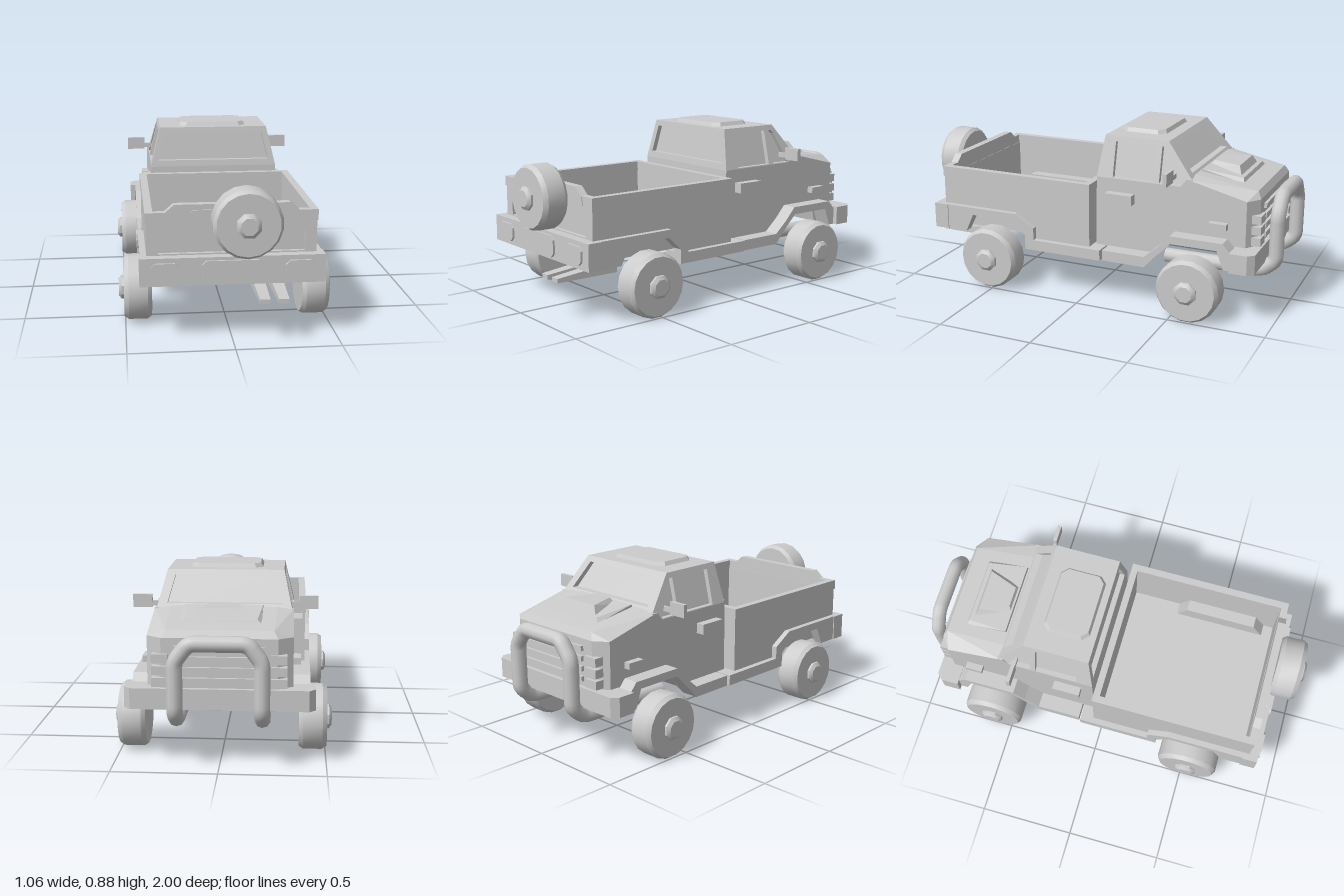
import * as THREE from 'three';
import { ConvexGeometry } from 'three/addons/geometries/ConvexGeometry.js';
import { toCreasedNormals } from 'three/addons/utils/BufferGeometryUtils.js';

const flat = new THREE.MeshStandardMaterial({ color: 0xcccccc, flatShading: true });
const smooth = new THREE.MeshStandardMaterial({ color: 0xcccccc });

export function createModel() {
  const model = new THREE.Group();
  const add = (name, geo, mat = flat, parent = model) => {
    const m = new THREE.Mesh(geo, mat);
    m.name = name;
    parent.add(m);
    return m;
  };
  const box = (name, x0, x1, y0, y1, z0, z1) =>
    add(name, new THREE.BoxGeometry(x1 - x0, y1 - y0, z1 - z0)
      .translate((x0 + x1) / 2, (y0 + y1) / 2, (z0 + z1) / 2));
  const toShape = (pts, holes = []) => {
    const s = new THREE.Shape(pts.map(p => new THREE.Vector2(...p)));
    for (const h of holes) s.holes.push(new THREE.Path(h.map(p => new THREE.Vector2(...p))));
    return s;
  };
  const slab = (pts, depth, holes) =>
    new THREE.ExtrudeGeometry(toShape(pts, holes), { depth, bevelEnabled: false });
  // moves every vertex by a rule
  const warp = (geo, rule) => {
    const p = geo.attributes.position;
    for (let i = 0; i < p.count; i++) p.setXYZ(i, ...rule(p.getX(i), p.getY(i), p.getZ(i)));
    return geo;
  };
  // side profile drawn as (forward, up), spanning x0..x1
  const profile = (pts, x0, x1, holes) =>
    slab(pts, x1 - x0, holes).rotateY(Math.PI / 2).translate(x0, 0, 0);
  // plan drawn as (x, -z), spanning y0..y1
  const plan = (pts, y0, y1, holes) =>
    slab(pts, y1 - y0, holes).rotateX(-Math.PI / 2).translate(0, y0, 0);
  const pair = (name, geo, mat) => {
    add(name + 'Left', geo, mat);
    add(name + 'Right', geo, mat).scale.x = -1;
  };
  const rect = (x0, x1, y0, y1) => [[x0, y0], [x1, y0], [x1, y1], [x0, y1]];
  // hull of points mirrored in x
  const hull = pts => new ConvexGeometry(pts.flatMap(([x, y, z]) =>
    [new THREE.Vector3(x, y, z), new THREE.Vector3(-x, y, z)]));
  const chamfered = (x0, x1, y0, y1, c) => [[x0 + c, y0], [x1 - c, y0], [x1, y0 + c],
    [x1, y1 - c], [x1 - c, y1], [x0 + c, y1], [x0, y1 - c], [x0, y0 + c]];

  // Lower cab and nose
  add('cabBody', profile([[.043, .28], [.39, .28], [.48, .375], [.56, .375], [.56, .69],
    [.53, .69], [.5, .65], [.047, .65]], -.34, .34));
  add('hood', hull([[.34, .375, -.5], [.34, .69, -.54], [.26, .7, -.54], [.34, .375, -.84],
    [.34, .615, -.84], [.27, .375, -.89], [.27, .615, -.89], [.25, .65, -.87]]));
  add('hoodPanel', hull([[.19, .68, -.55], [.19, .66, -.78], [.19, .71, -.56],
    [.17, .682, -.77]]));
  add('hoodScoop', hull([[.08, .69, -.56], [.15, .67, -.755], [.055, .725, -.58],
    [.11, .725, -.73]]));
  add('noseUnderside', hull([[.3, .28, -.76], [.3, .28, -.88], [.3, .4, -.73], [.3, .4, -.88]]));

  // Cab upper: a solid glass core inside pierced frame panels
  add('cabGlass', hull([[.315, .65, -.075], [.315, .65, -.55], [.3, .7, -.51],
    [.265, .86, -.1], [.265, .86, -.387]]));
  const side = slab([[.047, .65], [.075, .86], [.417, .86], [.555, .69], [.555, .65]].reverse(), .03, [
    rect(.135, .355, .655, .833), [[.385, .655], [.5, .655], [.41, .833], [.385, .833]]]);
  pair('cabSideFrame', warp(side, (u, v, w) => [.31 + w - (v - .65) * .24, v, -u]));
  add('rearWindowFrame', warp(
    slab([[-.34, .65], [.34, .65], [.29, .86], [-.29, .86]], .03,
      [[[-.3, .683], [.3, .683], [.265, .83], [-.265, .83]]]),
    (u, v, w) => [u, v, -.077 + w - (v - .65) * .133]));
  add('windshieldFrame', warp(
    slab([[-.33, .69], [.33, .69], [.29, .86], [-.29, .86]], .035,
      [[[-.28, .71], [.28, .71], [.25, .835], [-.25, .835]]]),
    (u, v, w) => [-u, v, -.52 - w + (v - .69) * .81]));
  add('roofHatch', warp(plan(chamfered(-.185, .185, .107, .355, .035), .855, .88),
    (x, y, z) => y > .87 ? [x * .92, y, -.231 + (z + .231) * .9] : [x, y, z]));

  // Cab fittings
  pair('mirror', new THREE.BoxGeometry(.095, .065, .02).translate(.412, .707, -.46));
  pair('mirrorArm', new THREE.BoxGeometry(.07, .025, .012).translate(.345, .695, -.46));
  pair('doorHandle', new THREE.BoxGeometry(.05, .052, .145).translate(.36, .555, -.182));
  pair('sideMarker', new THREE.BoxGeometry(.04, .032, .09).translate(.355, .48, -.705));
  for (let i = 0; i < 4; i++)
    box('grilleSlat', -.21, .21, .405 + i * .05, .43 + i * .05, -.905, -.88);
  for (let i = 0; i < 3; i++)
    pair('headlight', new THREE.BoxGeometry(.075, .042, .05)
      .translate(.275, .408 + i * .056, -.882));

  // Flares, sills and bumpers
  pair('frontFlare', profile([[.11, .23], [.34, .23], [.41, .305], [.48, .375], [.72, .375],
    [.755, .28], [.81, .28], [.81, .375], [.785, .375], [.75, .415], [.475, .415],
    [.415, .35], [.34, .285], [.11, .285]], .325, .42));
  pair('rearFlare', profile([[-.87, .28], [-.69, .28], [-.645, .375], [-.405, .375],
    [-.33, .305], [-.33, .23], [.1, .23], [.1, .285], [-.28, .285], [-.28, .35],
    [-.39, .415], [-.87, .415]], .385, .43));
  pair('sill', new THREE.BoxGeometry(.08, .055, .43).translate(.35, .2575, .115));
  add('frontBumper', plan([[-.445, .79], [.445, .79], [.445, .88], [.415, .912],
    [-.415, .912], [-.445, .88]], .28, .38));
  box('rearBumper', -.435, .435, .28, .415, .8, .88);
  for (const [x0, x1, y0, y1] of [[-.385, -.25, .302, .392], [-.145, .142, .293, .4],
    [.247, .385, .302, .392]])
    add('bumperPlate', slab(chamfered(x0, x1, y0, y1, .02), .015).translate(0, 0, .876));

  // Cargo bed
  pair('bedSide', profile([[-.83, .29], [-.69, .29], [-.645, .375], [-.405, .375], [-.33, .305],
    [-.33, .25], [.03, .25], [.03, .575], [-.83, .575]], .372, .4));
  box('bedFront', -.4, .4, .25, .575, -.03, 0);
  box('bedFloor', -.375, .375, .3, .315, -.02, .82);
  pair('wheelWell', profile([[-.75, .305], [-.25, .305], [-.31, .4], [-.69, .4]], .31, .375));
  add('bedRail', plan(rect(-.405, .405, -.835, .033), .568, .62,
    [rect(-.368, .368, -.8, -.002)]));
  box('tailgateInner', -.4, .4, .3, .575, .798, .812);
  add('tailgateFrame', slab(rect(-.4, .4, .4, .57), .02, [rect(-.345, .345, .422, .52)])
    .translate(0, 0, .812));
  add('tailgateCrest', slab([[-.33, .57], [.33, .57], [.32, .615], [.27, .658], [-.27, .658],
    [-.32, .615]], .04).translate(0, 0, .8));
  add('tailgateLatch', slab(chamfered(-.195, -.06, .585, .632, .012), .012).translate(0, 0, .835));

  // Wheels, turned about y then laid on their side
  const lathe = (pts, n) => toCreasedNormals(
    new THREE.LatheGeometry(pts.map(p => new THREE.Vector2(...p)), n), .5);
  const tyre = lathe([[0, 0], [.148, 0], [.163, .02], [.163, .113], [.148, .135], [0, .135]], 18);
  const hub = lathe([[.06, .13], [.06, .147], [.042, .16], [0, .16]], 8);
  const wheel = (name, x, y, z) => {
    const g = new THREE.Group();
    g.name = name;
    add('tyre', tyre, smooth, g);
    add('hub', hub, smooth, g).rotation.y = Math.PI / 8;
    g.position.set(x, y, z);
    model.add(g);
    return g;
  };
  for (const z of [.524, -.594])
    for (const s of [1, -1])
      wheel('wheel', s * .37, .165, z).rotation.z = -s * Math.PI / 2;
  wheel('spareWheel', .06, .587, .842).rotation.x = Math.PI / 2;
  box('spareMount', .0, .12, .54, .63, .82, .85);

  // Bull bar: bent tube with legs running back under the nose
  const half = [[.2, .228, -.38], [.2, .228, -.89], [.2, .285, -.96], [.2, .52, -.96],
    [.135, .605, -.96]];
  const path = new THREE.CurvePath();
  const pts = [...half, ...half.map(([x, y, z]) => [-x, y, z]).reverse()]
    .map(p => new THREE.Vector3(...p));
  const corner = (i, j) => pts[i].clone().lerp(pts[j],
    Math.min(.3, .03 / pts[i].distanceTo(pts[j])));
  let last = pts[0];
  for (let i = 1; i < pts.length - 1; i++) {
    const a = corner(i, i - 1), b = corner(i, i + 1);
    path.add(new THREE.LineCurve3(last, a));
    path.add(new THREE.QuadraticBezierCurve3(a, pts[i], b));
    last = b;
  }
  path.add(new THREE.LineCurve3(last, pts[pts.length - 1]));
  add('bullBar', new THREE.TubeGeometry(path, 120, .038, 10), smooth);
  for (const s of [1, -1])
    add('bullBarEnd', new THREE.CircleGeometry(.038, 10).translate(s * .2, .228, -.38), flat);

  // Twin tow prongs under the tail
  for (const x of [.143, .232])
    add('towProng', warp(new THREE.BoxGeometry(.065, .055, .34).translate(x, .228, .77),
      (px, y, z) => z > .9 ? [x + (px - x) * .75, y > .228 ? .222 : y, z] : [px, y, z]));

  return model;
}
